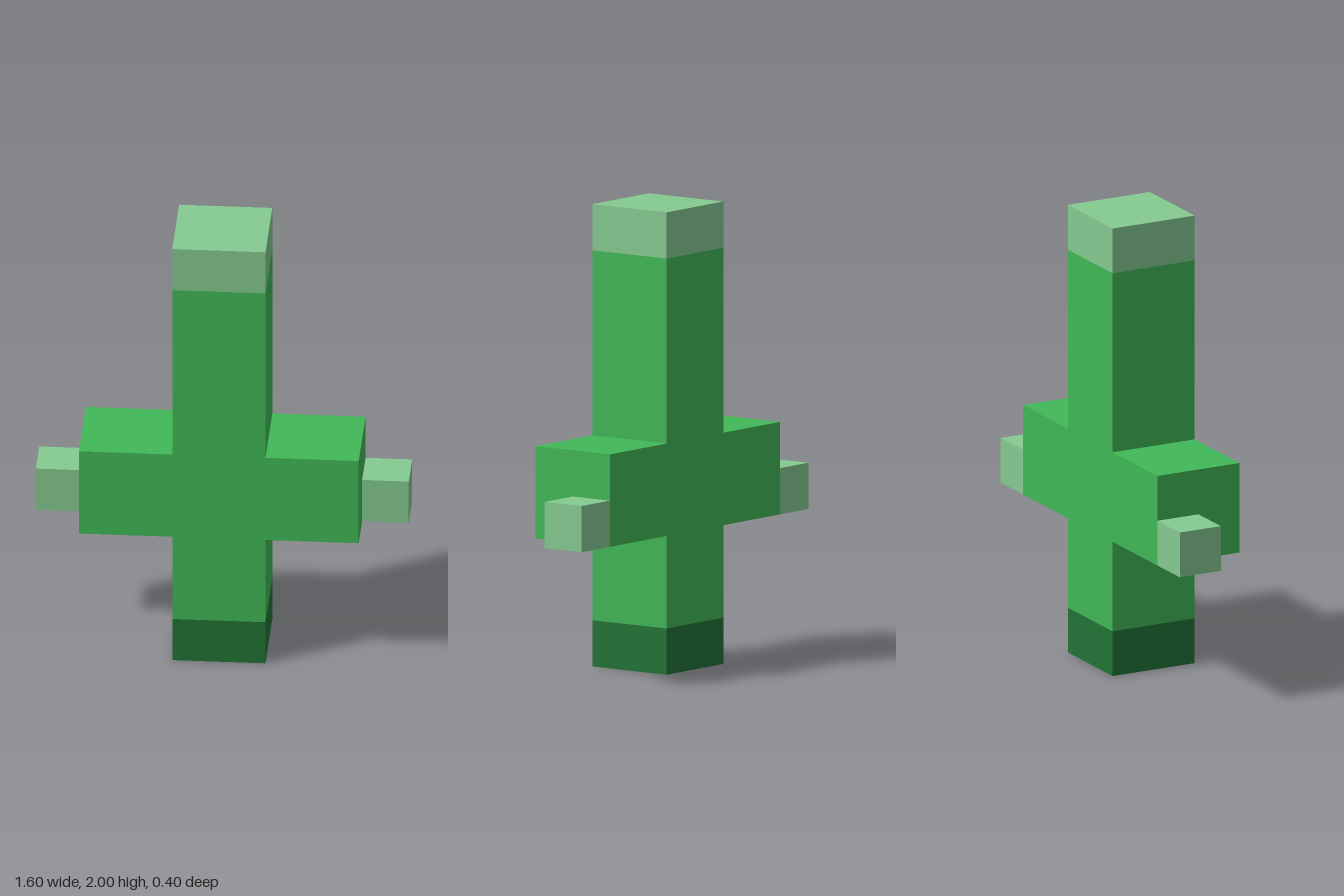
import * as THREE from 'three';

export function createModel() {
  const model = new THREE.Group();
  const material = (name, color) => {
    const m = new THREE.MeshStandardMaterial({ color });
    m.name = name;
    return m;
  };
  const midGreen = material('mid green', 0x41b857);
  const paleGreen = material('pale green', 0x85ca91);
  const darkGreen = material('dark green', 0x227336);

  const add = (name, geometry, mat, x, y, z) => {
    const mesh = new THREE.Mesh(geometry, mat);
    mesh.name = name;
    mesh.position.set(x, y, z);
    model.add(mesh);
  };

  // Cross-shaped body: trunk and both arms in one solid
  const half = [[0.2, 0.2], [0.2, 0.6], [0.6, 0.6], [0.6, 1], [0.2, 1], [0.2, 1.8]];
  const mirrored = half.map(([x, y]) => [-x, y]).reverse();
  const outline = [...half, ...mirrored].map(([x, y]) => new THREE.Vector2(x, y));
  const body = new THREE.ExtrudeGeometry(new THREE.Shape(outline), { depth: 0.4, bevelEnabled: false });
  add('body', body, midGreen, 0, 0, -0.2);

  // Dark foot and pale top
  const block = new THREE.BoxGeometry(0.4, 0.2, 0.4);
  add('foot', block, darkGreen, 0, 0.1, 0);
  add('topCap', block, paleGreen, 0, 1.9, 0);

  // Pale arm tips, set low and flush with the back
  const tip = new THREE.BoxGeometry(0.2, 0.2, 0.2);
  add('leftArmTip', tip, paleGreen, 0.7, 0.7, -0.1);
  add('rightArmTip', tip, paleGreen, -0.7, 0.7, -0.1);

  return model;
}
